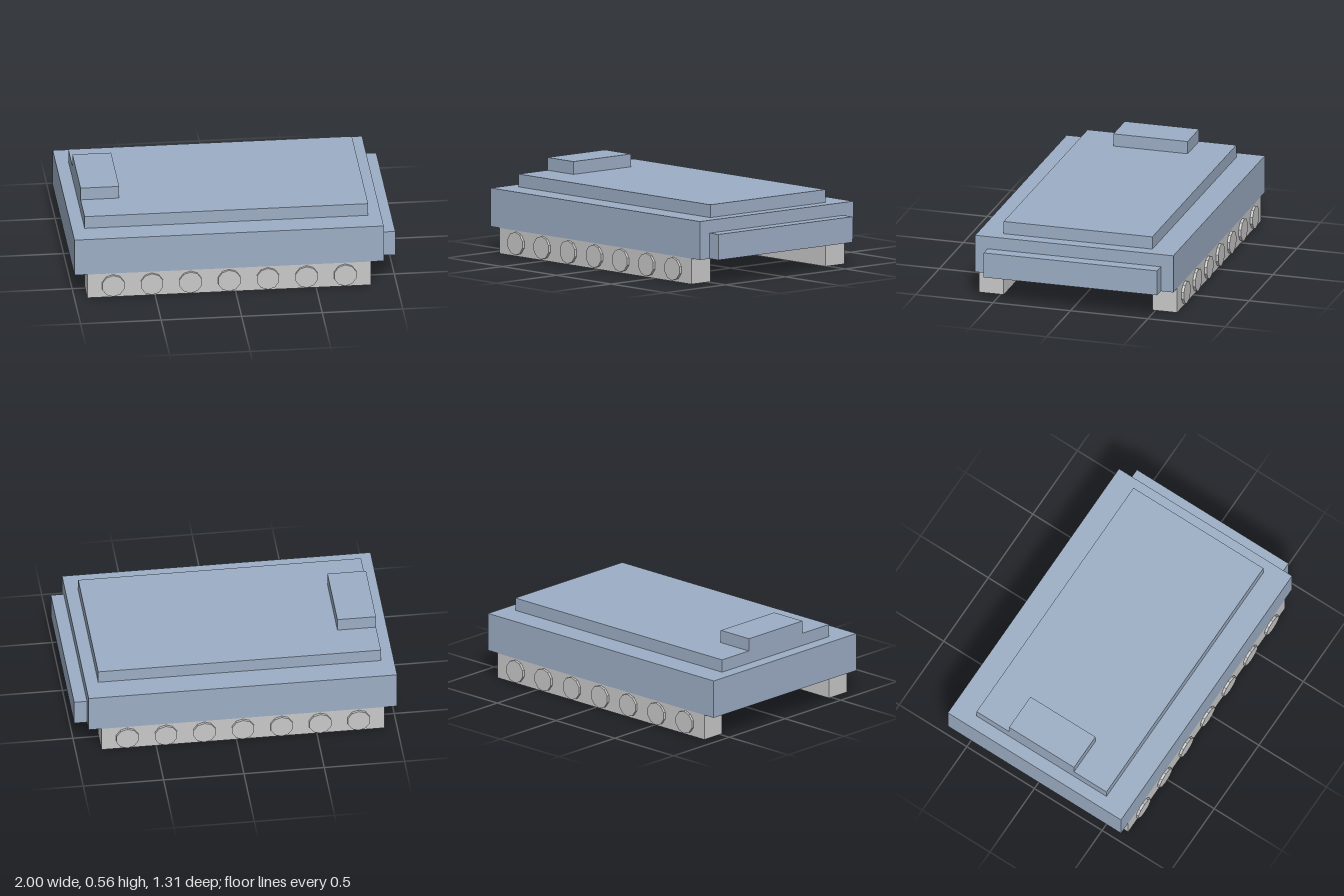
import * as THREE from 'three';

export function createModel() {
  const model = new THREE.Group();
  const blue = new THREE.MeshStandardMaterial({ color: 0x9cadc4 });
  blue.name = 'steel blue';
  const grey = new THREE.MeshStandardMaterial({ color: 0xc8c8c8, flatShading: true });
  grey.name = 'light grey';

  // Box given by its extents on each axis
  function box(name, material, [x0, x1], [y0, y1], [z0, z1], parent = model) {
    const mesh = new THREE.Mesh(new THREE.BoxGeometry(x1 - x0, y1 - y0, z1 - z0), material);
    mesh.position.set((x0 + x1) / 2, (y0 + y1) / 2, (z0 + z1) / 2);
    mesh.name = name;
    parent.add(mesh);
  }

  // Body
  box('hull', blue, [-1, 0.92], [0.16, 0.4], [-0.64, 0.64]);
  box('upperDeck', blue, [-0.92, 0.84], [0.4, 0.48], [-0.48, 0.48]);
  box('roofHatch', blue, [-0.92, -0.68], [0.48, 0.56], [-0.24, 0.24]);
  box('endPlate', blue, [0.92, 1], [0.16, 0.32], [-0.56, 0.56]);

  // Running gear: a rail with seven ten-sided wheels on each side
  const wheelGeometry = new THREE.CylinderGeometry(0.072, 0.072, 0.032, 10).rotateX(Math.PI / 2);
  for (const side of [1, -1]) {
    const track = new THREE.Group();
    track.name = side > 0 ? 'frontTrack' : 'backTrack';
    const inner = side * 0.48, outer = side * 0.64;
    box('trackRail', grey, [-0.92, 0.84], [0, 0.16],
      [Math.min(inner, outer), Math.max(inner, outer)], track);
    for (let i = 0; i < 7; i++) {
      const wheel = new THREE.Mesh(wheelGeometry, grey);
      wheel.position.set(-0.76 + i * 0.24, 0.08, outer);
      wheel.name = 'wheel';
      track.add(wheel);
    }
    model.add(track);
  }
  return model;
}
